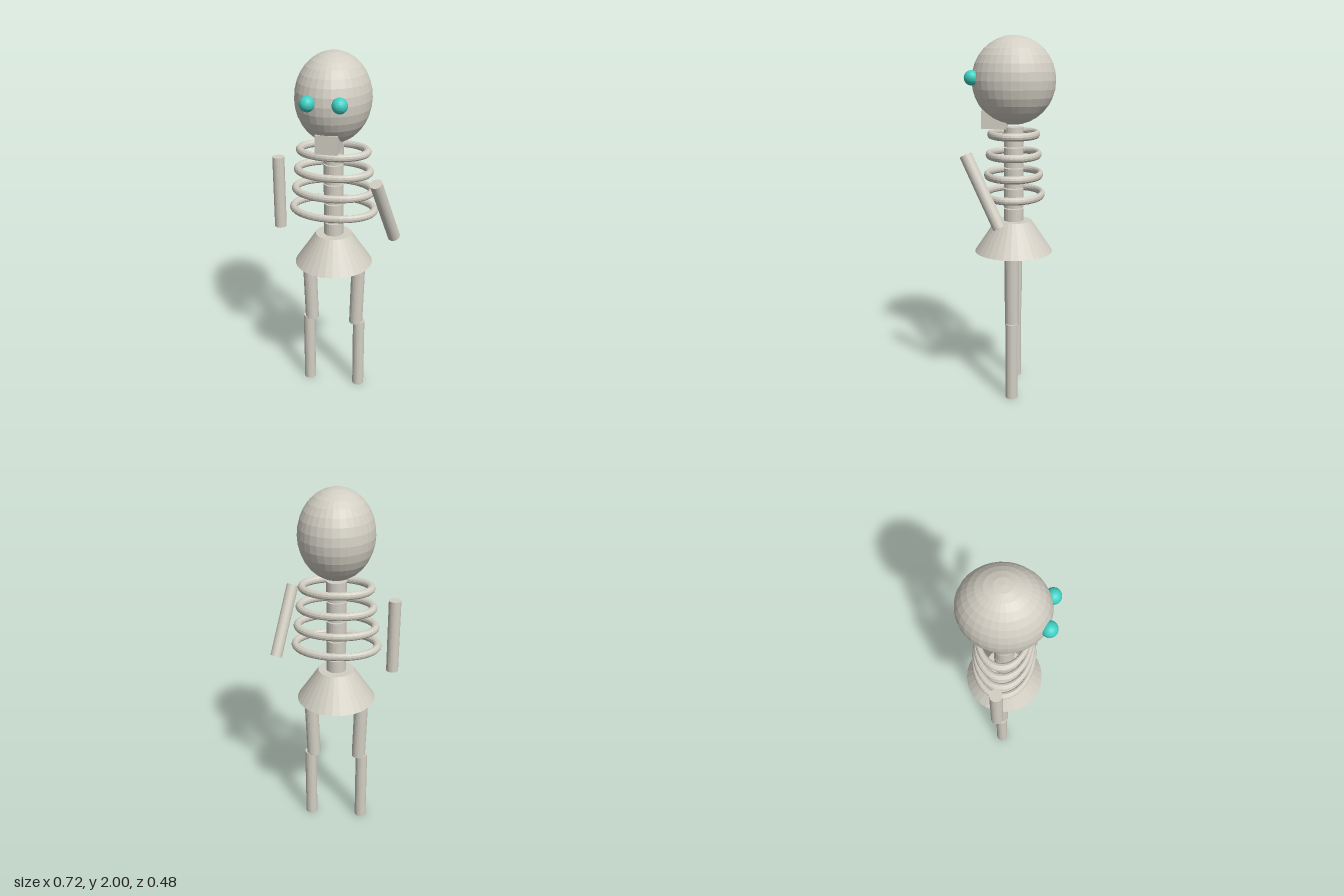
import * as THREE from 'three';

const bone = new THREE.MeshStandardMaterial({ color: 0xd2cec3, flatShading: true });
bone.name = 'bone';
const teal = new THREE.MeshStandardMaterial({ color: 0x40d0c4, flatShading: true });
teal.name = 'teal';

const CX = -0.02, CZ = -0.017; // body axis

export function createModel() {
  const model = new THREE.Group();
  model.name = 'skeleton';

  const add = (name, geometry, x, y, z, material = bone) => {
    const mesh = new THREE.Mesh(geometry, material);
    mesh.name = name;
    mesh.position.set(x, y, z);
    model.add(mesh);
    return mesh;
  };

  // Straight cylinder between two points
  const rod = (name, a, b, radius) => {
    const start = new THREE.Vector3(...a), end = new THREE.Vector3(...b);
    const dir = end.clone().sub(start);
    const mid = start.clone().add(end).multiplyScalar(0.5);
    const mesh = add(name, new THREE.CylinderGeometry(radius, radius, dir.length(), 24), mid.x, mid.y, mid.z);
    mesh.quaternion.setFromUnitVectors(new THREE.Vector3(0, 1, 0), dir.normalize());
  };

  // Head, jaw and eyes
  add('skull', new THREE.SphereGeometry(1, 32, 16), CX, 1.765, CZ).scale.set(0.2, 0.235, 0.226);
  add('jaw', new THREE.BoxGeometry(0.116, 0.1, 0.135), CX, 1.56, 0.086);
  for (const s of [-1, 1]) {
    add(s > 0 ? 'leftEye' : 'rightEye', new THREE.SphereGeometry(0.04, 24, 16), CX + s * 0.082, 1.78, 0.2, teal);
  }

  // Spine of stacked vertebrae
  for (let i = 0; i < 5; i++) {
    add('vertebra', new THREE.CylinderGeometry(0.054, 0.054, 0.106, 24), CX, 1.015 + i * 0.1125, CZ);
  }

  // Oval rib hoops, widening downwards
  for (let i = 0; i < 4; i++) {
    const rib = new THREE.TorusGeometry(0.183 + i * 0.0137, 0.021, 12, 40).rotateX(Math.PI / 2);
    add('rib', rib, CX, 1.48 - i * 0.11, CZ).scale.z = 0.7;
  }

  // Flared pelvis
  add('pelvis', new THREE.CylinderGeometry(0.1, 0.217, 0.175, 32), CX, 0.9125, CZ);

  // Legs
  for (const s of [-1, 1]) {
    const side = s > 0 ? 'left' : 'right';
    rod(side + 'Thigh', [CX + s * 0.144, 0.84, CZ], [CX + s * 0.132, 0.433, CZ], 0.039);
    rod(side + 'Shin', [CX + s * 0.15, 0, CZ], [CX + s * 0.15, 0.443, CZ], 0.034);
  }

  // Detached arms: one hanging, one swung forward
  rod('rightArm', [-0.328, 1.01, CZ], [-0.328, 1.42, CZ], 0.033);
  rod('leftArm', [0.325, 1.035, 0.031], [0.25, 1.398, 0.209], 0.033);

  return model;
}
